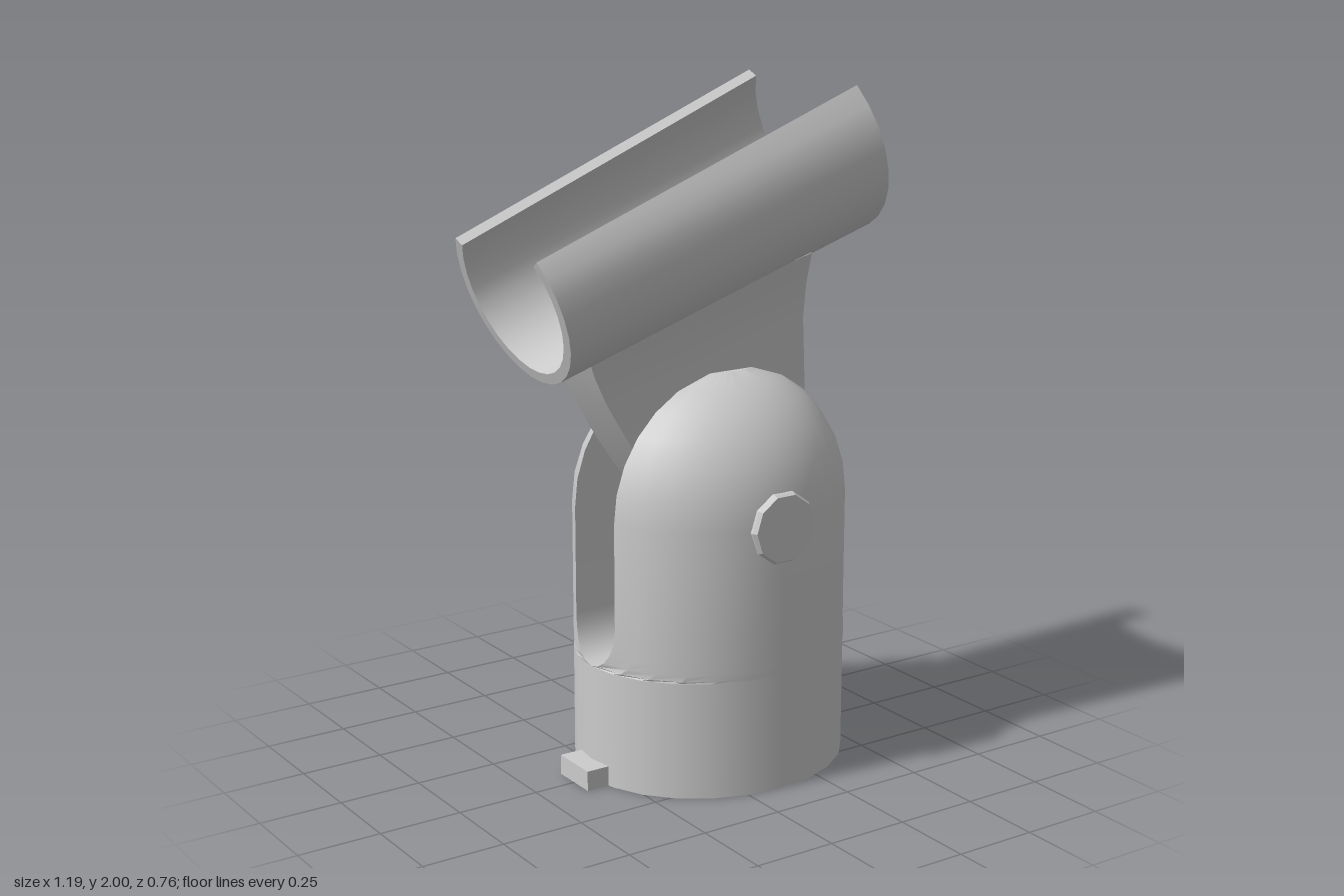
import * as THREE from 'three';
import { toCreasedNormals } from 'three/addons/utils/BufferGeometryUtils.js';

const material = new THREE.MeshStandardMaterial({ color: 0xcccccc });

// Skin a series of closed rings. Each ring runs counter-clockwise seen from the
// far end; the caps join point i to its partner at the other end of the ring.
function loft(rings, crease = 0.5) {
  const n = rings[0].length, last = (rings.length - 1) * n, index = [];
  for (let r = 0; r < last; r += n) {
    for (let i = 0; i < n; i++) {
      const j = (i + 1) % n;
      index.push(r + i, r + j, r + n + j, r + i, r + n + j, r + n + i);
    }
  }
  for (let i = 0; i < n / 2 - 1; i++) {
    const a = i, b = i + 1, c = n - 2 - i, d = n - 1 - i;
    index.push(a, c, b, a, d, c);
    index.push(last + a, last + b, last + c, last + a, last + c, last + d);
  }
  const geometry = new THREE.BufferGeometry();
  geometry.setAttribute('position', new THREE.Float32BufferAttribute(rings.flat(2), 3));
  geometry.setIndex(index);
  return toCreasedNormals(geometry, crease);
}

function add(parent, name, geometry) {
  const mesh = new THREE.Mesh(geometry, material);
  mesh.name = name;
  parent.add(mesh);
  return mesh;
}

// Domed half of the fork: an ellipse at each height, cut off at the slot wall
function cheekGeometry(A, B) {
  const ring = (y, s, wall) => {
    const start = Math.asin(wall / (B * s)), points = [];
    for (let i = 0; i <= 12; i++) {
      const a = Math.PI - start - (i / 12) * (Math.PI - 2 * start);
      points.push([A * s * Math.cos(a), y, B * s * Math.sin(a)]);
    }
    points.splice(6, 0, points[6].slice()); // even count for the caps
    return points;
  };
  const rings = [];
  for (let i = 0; i <= 5; i++) { // rounded slot floor
    const a = (i / 5) * Math.PI / 2;
    rings.push(ring(0.35 + 0.13 * (1 - Math.cos(a)), 1, 0.105 * Math.sin(a)));
  }
  for (let i = 0; i <= 6; i++) { // dome
    const a = (i / 6) * 1.23;
    rings.push(ring(0.8 + 0.42 * Math.sin(a), Math.cos(a), 0.105));
  }
  return loft(rings);
}

// Tapered open trough along x
function cradleGeometry(length, r0, r1, thickness) {
  const open = THREE.MathUtils.degToRad(33.5), steps = 20;
  const ring = (x, r) => {
    const arc = radius => Array.from({ length: steps + 1 }, (_, i) => {
      const t = open - (i / steps) * (Math.PI + 2 * open);
      return [x, radius * Math.sin(t), radius * Math.cos(t)];
    });
    return [...arc(r), ...arc(r - thickness).reverse()];
  };
  return loft([ring(0, r0), ring(length, r1)]);
}

// Blade of the swivel arm, flaring out under the cradle.
// Levels: left x, left y, left half width, right x, right y, right half width, centre dip
function armGeometry() {
  const levels = [
    [0.10, 0.58, 0.085, 0.395, 0.58, 0.085, 0],
    [-0.05, 0.75, 0.09, 0.39, 0.75, 0.09, 0],
    [-0.22, 1.00, 0.10, 0.38, 1.05, 0.10, 0],
    [-0.31, 1.15, 0.10, 0.368, 1.32, 0.10, 0],
    [-0.35, 1.23, 0.105, 0.362, 1.42, 0.12, 0],
    [-0.38, 1.295, 0.12, 0.355, 1.52, 0.155, 0.035],
  ];
  return loft(levels.map(([lx, ly, lw, rx, ry, rw, dip]) => [
    [rx, ry, rw], [rx, ry - dip, 0], [rx, ry, -rw],
    [lx, ly, -lw], [lx, ly - dip, 0], [lx, ly, lw],
  ]), 0.3);
}

export function createModel() {
  const model = new THREE.Group();
  model.name = 'swivelClip';
  const A = 0.4175, B = 0.37;

  // Socket base with forked top
  const base = new THREE.Group();
  base.name = 'base';
  base.position.x = 0.108;
  model.add(base);
  const socket = new THREE.CylinderGeometry(1, 1, 0.35, 24);
  socket.scale(A, 1, B).translate(0, 0.175, 0);
  add(base, 'socket', socket);

  const cheek = cheekGeometry(A, B);
  const bolt = new THREE.CylinderGeometry(0.1, 0.107, 0.012, 10, 1, false, Math.PI / 2);
  bolt.rotateX(Math.PI / 2).translate(0, 0.79, 0.373);
  const boltShank = new THREE.CylinderGeometry(0.107, 0.107, 0.047, 10, 1, false, Math.PI / 2);
  boltShank.rotateX(Math.PI / 2).translate(0, 0.79, 0.3435);
  for (const [side, turn] of [['front', 0], ['back', Math.PI]]) {
    const half = new THREE.Group();
    half.name = side + 'Half';
    half.rotation.y = turn;
    base.add(half);
    add(half, side + 'Cheek', cheek);
    add(half, side + 'BoltFace', toCreasedNormals(bolt, 0.3));
    add(half, side + 'BoltRim', toCreasedNormals(boltShank, 0.3));
  }

  // Pivot pin through the slot
  const pin = new THREE.CylinderGeometry(0.06, 0.06, 0.3, 10);
  pin.rotateX(Math.PI / 2).translate(0, 0.79, 0);
  add(base, 'pivotPin', pin);

  // Small tab at the foot
  const tab = new THREE.BoxGeometry(0.09, 0.06, 0.15);
  tab.translate(-0.325, 0.03, 0);
  add(model, 'footTab', tab);

  // Swivel arm and tilted cradle
  add(model, 'swivelArm', armGeometry());
  const cradle = add(model, 'cradle', cradleGeometry(1.1, 0.265, 0.31, 0.032));
  cradle.position.set(-0.548, 1.463, 0);
  cradle.rotation.z = THREE.MathUtils.degToRad(20.2);
  return model;
}
